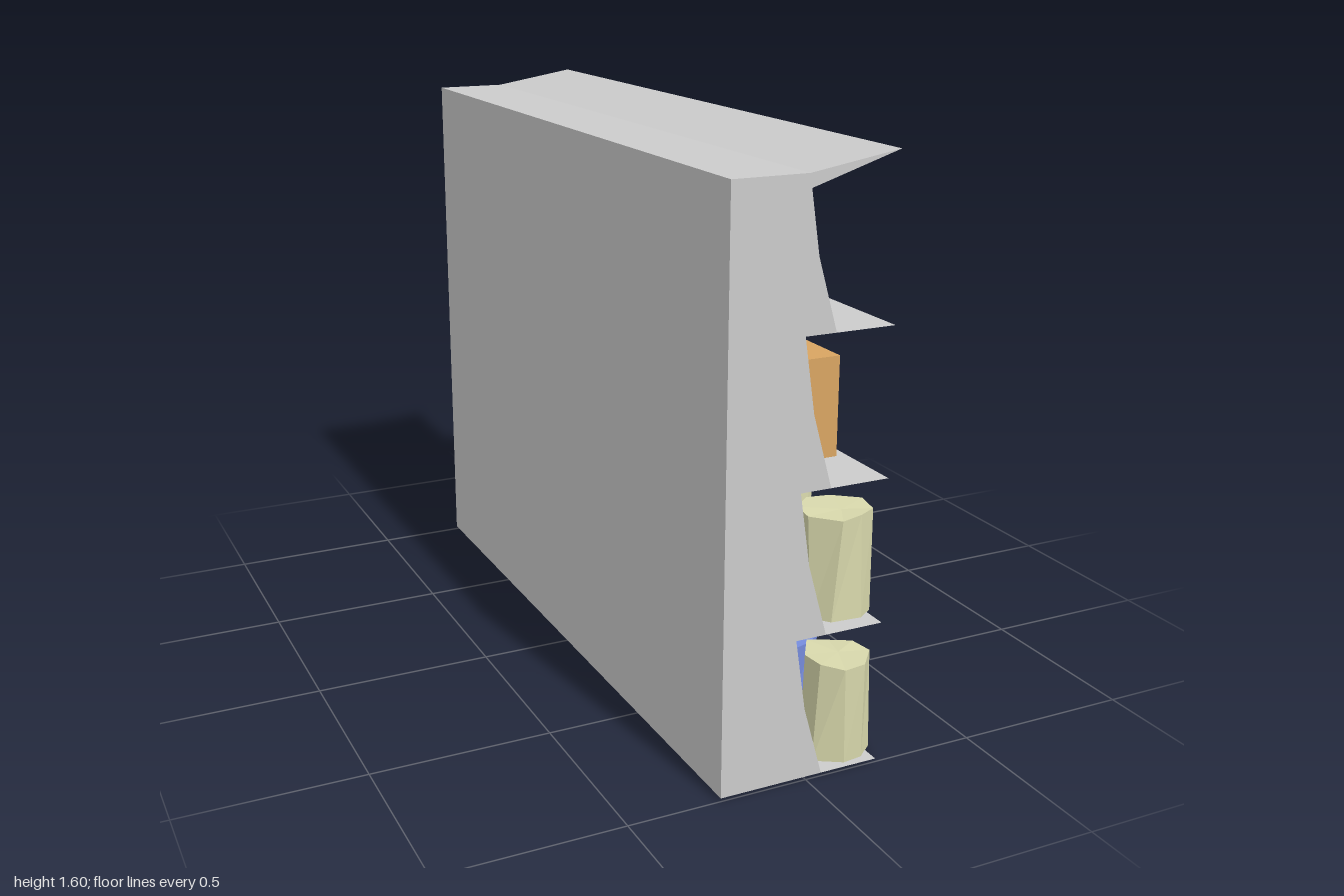
import * as THREE from 'three';

const mat = (color, side = THREE.FrontSide) =>
  new THREE.MeshStandardMaterial({ color, flatShading: true, side });

function seeded(seed) {
  let s = seed * 7919 + 17;
  return () => ((s = (s * 16807) % 2147483647) / 2147483647) - 0.5;
}

// Eight-sided pot whose corners are pushed slightly out of true
function potGeometry(radius, height, seed) {
  const rand = seeded(seed);
  rand();
  const geo = new THREE.CylinderGeometry(radius, radius * 0.97, height, 8);
  geo.rotateY(rand() * 0.8);
  const pos = geo.attributes.position;
  const moved = new Map();
  for (let i = 0; i < pos.count; i++) {
    const key = [pos.getX(i), pos.getY(i), pos.getZ(i)].map(v => Math.round(v * 1000)).join();
    if (!moved.has(key)) moved.set(key, [rand() * 0.022, rand() * 0.008, rand() * 0.022]);
    const d = moved.get(key);
    pos.setXYZ(i, pos.getX(i) + d[0], pos.getY(i) + d[1], pos.getZ(i) + d[2]);
  }
  geo.computeVertexNormals();
  return geo;
}

export function createModel() {
  const model = new THREE.Group();
  const add = (name, geo, material, x, y, z) => {
    const mesh = new THREE.Mesh(geo, material);
    mesh.name = name;
    mesh.position.set(x, y, z);
    model.add(mesh);
  };
  const grey = mat(0xcccccc);
  const thinGrey = mat(0xcccccc, THREE.DoubleSide);
  const cream = mat(0xd8d8ac);
  const blue = mat(0x788ee0);
  const shelfY = [0.01, 0.397, 0.786, 1.176];

  // Back wall with a sloped section above every shelf and a canopy lip
  const profile = [[-0.245, 0.01]];
  shelfY.forEach((y, i) => {
    const top = i < 3 ? shelfY[i + 1] : 1.525;
    profile.push([0.045, y], [-0.01, y + (top - y) * (i < 3 ? 0.5 : 0.54)], [i < 3 ? -0.04 : -0.035, top]);
  });
  profile.push([0.205, 1.6], [-0.04, 1.56], [-0.245, 1.56]);
  const shape = new THREE.Shape(profile.map(p => new THREE.Vector2(...p)));
  add('backWall', new THREE.ExtrudeGeometry(shape, { depth: 2, bevelEnabled: false }), grey, 0, 0, -1);

  // Thin shelves
  shelfY.forEach((y, i) => {
    const x0 = i ? -0.04 : 0.045;
    const plane = new THREE.PlaneGeometry(0.21 - x0, 2).rotateX(-Math.PI / 2);
    add('shelf', plane, thinGrey, (0.21 + x0) / 2, y, 0);
  });

  // Slim cream pots
  [0.87, 0.58, 0.275, -0.05, -0.32, -0.59, -0.855].forEach((z, i) =>
    add('creamPot', potGeometry(0.091, 0.278, i + 1), cream, 0.145, 0.535, z));
  add('creamPot', potGeometry(0.091, 0.274, 9), cream, 0.145, 0.142, 0.893);

  // Wide blue pots
  [0.66, 0.1, -0.42, -0.868].forEach((z, i) =>
    add('bluePot', potGeometry(0.122, 0.23, i + 20), blue, 0.095, 0.132, z));

  // Boxes on the third shelf: colour, centre z, width
  [[0xd9a562, 0.676, 0.262], [0x6468d8, 0.222, 0.348], [0x7cda7a, -0.38, 0.45]].forEach(([c, z, w]) =>
    add('box', new THREE.BoxGeometry(0.1, 0.268, w), mat(c), 0.13, 0.921, z));

  return model;
}
